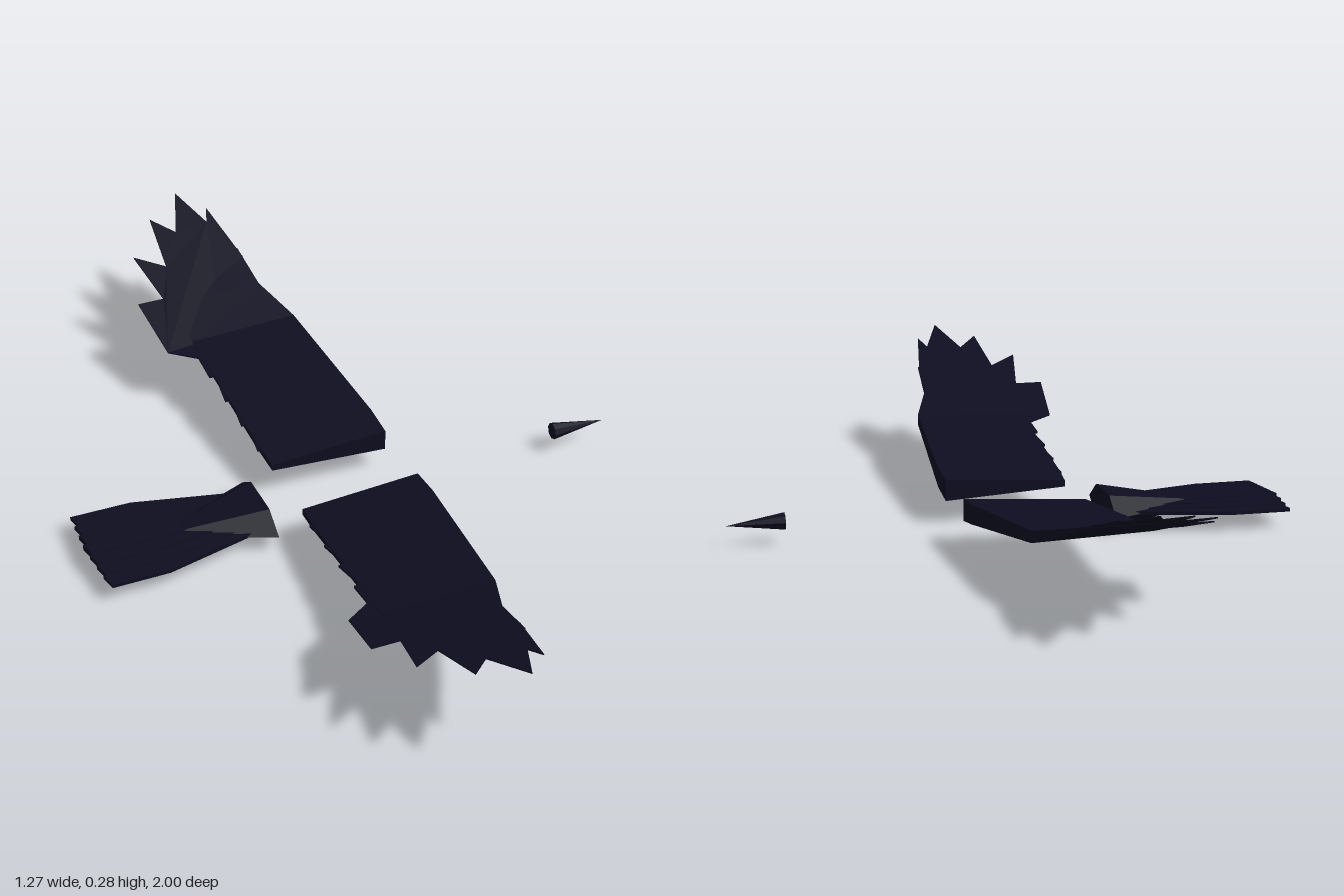
import * as THREE from 'three';

const plumage = new THREE.MeshStandardMaterial({ color: 0x0d0d20, flatShading: true });
plumage.name = 'dark plumage';

// Wing stations: distance from the middle, leading x, trailing x, height, leading thickness
const stations = [
  [0.09, 0.12, -0.16, 0.076, 0.05],
  [0.17, 0.12, -0.165, 0.086, 0.045],
  [0.56, 0.085, -0.175, 0.136, 0.026],
  [0.68, 0.042, -0.185, 0.174, 0.016],
  [0.80, 0.034, -0.15, 0.215, 0.003],
];

// Height of the wing's middle surface along the span
function wingHeight(z) {
  if (z < 0.17) return 0.076 + (z - 0.09) * 0.125;
  if (z < 0.56) return 0.086 + (z - 0.17) * 0.128;
  return 0.136 + (z - 0.56) * 0.335;
}

function mesh(name, geometry) {
  const m = new THREE.Mesh(geometry, plumage);
  m.name = name;
  return m;
}

// Thin horizontal plate from an x/z outline, lifted by a height rule
function plate(outline, thickness, height) {
  const shape = new THREE.Shape(outline.map(([x, z]) => new THREE.Vector2(x, z)));
  const g = new THREE.ExtrudeGeometry(shape, { depth: thickness, bevelEnabled: false });
  g.rotateX(Math.PI / 2);
  const p = g.attributes.position;
  for (let i = 0; i < p.count; i++) {
    p.setY(i, p.getY(i) + thickness / 2 + height(p.getZ(i)));
  }
  g.computeVertexNormals();
  return g;
}

// Solid wing lofted through four-cornered sections
function wingSolid() {
  const rings = stations.map(([z, lead, trail, y, t]) => [
    [lead, y + t / 2, z], [lead, y - t / 2, z],
    [trail, y - t * 0.15, z], [trail, y + t * 0.15, z],
  ]);
  const out = [];
  const quad = (a, b, c, d) => [a, b, c, a, c, d].forEach((v) => out.push(...v));
  for (let s = 0; s < rings.length - 1; s++) {
    for (let i = 0; i < 4; i++) {
      const j = (i + 1) % 4;
      quad(rings[s][i], rings[s + 1][i], rings[s + 1][j], rings[s][j]);
    }
  }
  quad(...rings[0]);
  quad(...rings[rings.length - 1].slice().reverse());
  const g = new THREE.BufferGeometry();
  g.setAttribute('position', new THREE.Float32BufferAttribute(out, 3));
  g.computeVertexNormals();
  return g;
}

function wing(name) {
  const group = new THREE.Group();
  group.name = name;
  group.add(mesh('wingArm', wingSolid()));

  // Spread primary feathers
  group.add(mesh('primaryFeathers', plate([
    [0.0, 0.62], [0.037, 0.77], [0.005, 0.937], [-0.01, 0.895], [-0.053, 1.0],
    [-0.095, 0.884], [-0.143, 0.937], [-0.155, 0.79], [-0.222, 0.836], [-0.196, 0.70],
    [-0.26, 0.70], [-0.243, 0.545], [-0.18, 0.50], [-0.1, 0.56],
  ], 0.003, wingHeight)));

  // Stepped feather ends along the trailing edge
  for (let i = 0; i < 4; i++) {
    const z = 0.155 + i * 0.0917;
    const x = -0.17 - i * 0.004;
    group.add(mesh('trailingFeather', plate([
      [-0.13, z], [x, z], [x + (i < 3 ? 0.01 : 0), z + 0.09], [-0.13, z + 0.09],
    ], 0.006, wingHeight)));
  }
  return group;
}

function tail() {
  const group = new THREE.Group();
  group.name = 'tail';

  // Six-sided rump tapering backwards
  const rump = new THREE.ConeGeometry(1, 0.265, 6);
  rump.rotateZ(Math.PI / 2);
  rump.scale(1, 0.0456, 0.112);
  rump.translate(-0.3575, 0.0397, 0);
  rump.computeVertexNormals();
  group.add(mesh('rump', rump));

  // Overlapping fan of tail feathers, highest in the middle
  const count = 7;
  for (let i = 0; i < count; i++) {
    const k = i - (count - 1) / 2;
    const c = k / 3;
    const h = 0.019;
    const y = 0.044 - Math.abs(c) * 0.003;
    const end = -0.636 + Math.abs(c) * 0.008;
    group.add(mesh('tailFeather', plate([
      [-0.25, c * 0.06 - 0.014], [-0.487, c * 0.112 - h - 0.002],
      [end, c * 0.115 - h], [end + 0.008, c * 0.115 + h],
      [-0.487, c * 0.112 + h + 0.002], [-0.25, c * 0.06 + 0.014],
    ], 0.014 - Math.abs(c) * 0.006, () => y)));
  }
  return group;
}

export function createModel() {
  const model = new THREE.Group();
  model.name = 'soaringBird';

  const nearWing = wing('nearWing');
  const farWing = wing('farWing');
  farWing.scale.z = -1;
  model.add(nearWing, farWing, tail());

  // Beak pointing along +x
  const beak = mesh('beak', new THREE.ConeGeometry(0.02, 0.131, 8));
  beak.rotation.z = -Math.PI / 2 - 0.03;
  beak.position.set(0.57, 0.05, 0);
  model.add(beak);

  return model;
}
